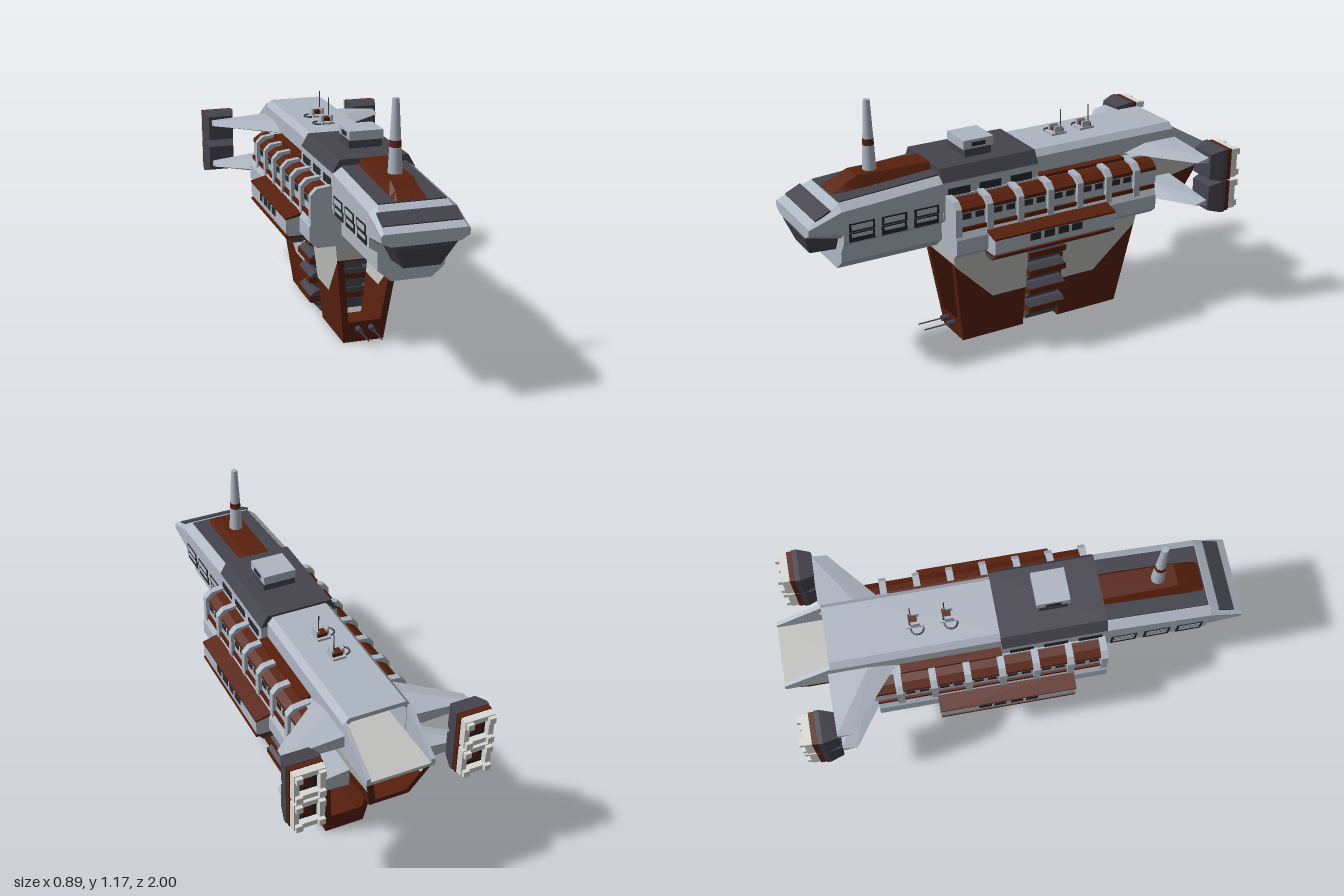
import * as THREE from 'three';
import { ConvexGeometry } from 'three/addons/geometries/ConvexGeometry.js';

const mat = (name, color, side = THREE.FrontSide) => {
  const m = new THREE.MeshStandardMaterial({ color, side });
  m.name = name;
  return m;
};

export function createModel() {
  const hull = mat('hullGrey', 0xaeb6c2), dark = mat('darkPlating', 0x45444e);
  const brown = mat('rustBrown', 0x58200d, THREE.DoubleSide), pale = mat('palePlating', 0xc1c1bf, THREE.DoubleSide);
  const black = mat('windowBlack', 0x28282d), white = mat('nozzleWhite', 0xd9d9d5);
  const root = new THREE.Group();
  root.name = 'airship';
  const body = new THREE.Group();
  body.name = 'body';
  body.position.x = 0.007;
  root.add(body);

  const add = (name, geo, m, parent = body) => {
    const mesh = new THREE.Mesh(geo, m);
    mesh.name = name;
    parent.add(mesh);
    return mesh;
  };
  // Box from its min and max corners
  const box = (name, m, x0, x1, y0, y1, z0, z1, parent) => {
    const g = new THREE.BoxGeometry(Math.abs(x1 - x0), Math.abs(y1 - y0), Math.abs(z1 - z0));
    return add(name, g.translate((x0 + x1) / 2, (y0 + y1) / 2, (z0 + z1) / 2), m, parent);
  };
  const shape = (pts) => new THREE.Shape(pts.map((p) => new THREE.Vector2(...p)));
  // Profile in x/y extruded from z0 up to z1
  const prism = (name, m, pts, z0, z1, hole, parent) => {
    const s = shape(pts);
    if (hole) s.holes.push(shape(hole));
    const g = new THREE.ExtrudeGeometry(s, { depth: z1 - z0, bevelEnabled: false });
    return add(name, g.translate(0, 0, z0), m, parent);
  };
  // Profile in z/y extruded across x
  const slab = (name, m, pts, x0, x1) => {
    const g = new THREE.ExtrudeGeometry(shape(pts), { depth: x1 - x0, bevelEnabled: false });
    return add(name, g.rotateY(-Math.PI / 2).translate(x1, 0, 0), m);
  };
  const convex = (name, m, pts, parent) =>
    add(name, new ConvexGeometry(pts.map((p) => new THREE.Vector3(...p))), m, parent);
  // Symmetric half sections (bottom to top), joined from front to back
  const loft = (name, m, rings) => {
    const full = rings.map(([z, half]) => [
      ...half.map(([x, y]) => [x, y, z]),
      ...half.slice().reverse().map(([x, y]) => [-x, y, z]),
    ]);
    const pos = [], n = full[0].length, tri = (...v) => v.forEach((p) => pos.push(...p));
    const first = full[0], last = full[full.length - 1];
    for (let r = 0; r < full.length - 1; r++) {
      for (let i = 0; i < n; i++) {
        const j = (i + 1) % n, a = full[r], b = full[r + 1];
        tri(a[i], b[i], a[j]);
        tri(a[j], b[i], b[j]);
      }
    }
    for (let i = 1; i < n - 1; i++) {
      tri(first[0], first[i], first[i + 1]);
      tri(last[0], last[i + 1], last[i]);
    }
    const g = new THREE.BufferGeometry();
    g.setAttribute('position', new THREE.Float32BufferAttribute(pos, 3));
    g.computeVertexNormals();
    return add(name, g, m);
  };
  // Flat z/y or x/y outline leaned onto a sloping plane
  const leaned = (name, m, pts, place, hole) => {
    const s = shape(pts);
    if (hole) s.holes.push(shape(hole));
    const g = new THREE.ShapeGeometry(s), p = g.attributes.position;
    for (let i = 0; i < p.count; i++) p.setXYZ(i, ...place(p.getX(i), p.getY(i)));
    g.computeVertexNormals();
    return add(name, g, m);
  };
  const both = (fn) => [1, -1].forEach(fn);

  // Forward hull and nose
  loft('noseHull', hull, [
    [1.0, [[0.14, 0.69], [0.178, 0.71], [0.18, 0.735], [0.17, 0.742]]],
    [0.855, [[0.15, 0.66], [0.18, 0.69], [0.18, 0.785], [0.145, 0.812]]],
    [0.4, [[0.15, 0.66], [0.18, 0.69], [0.18, 0.815], [0.145, 0.84]]],
  ]);
  loft('lowerForeHull', hull, [
    [0.85, [[0.085, 0.497], [0.14, 0.545], [0.14, 0.62], [0.176, 0.645], [0.176, 0.74]]],
    [0.2, [[0.085, 0.497], [0.14, 0.545], [0.14, 0.62], [0.176, 0.645], [0.176, 0.74]]],
  ]);
  loft('chin', dark, [
    [0.993, [[0.12, 0.672], [0.135, 0.69]]],
    [0.962, [[0.075, 0.588], [0.135, 0.69]]],
    [0.85, [[0.085, 0.585], [0.14, 0.69]]],
  ]);
  loft('foreRoof', dark, [
    [0.85, [[0.14, 0.8], [0.14, 0.817]]],
    [0.4, [[0.14, 0.83], [0.14, 0.846]]],
  ]);
  loft('mastPlinth', brown, [
    [0.845, [[0.078, 0.81], [0.06, 0.818]]],
    [0.79, [[0.075, 0.815], [0.05, 0.845]]],
    [0.73, [[0.075, 0.82], [0.05, 0.873]]],
    [0.4, [[0.08, 0.83], [0.055, 0.873]]],
  ]);
  const visor = box('noseWindow', dark, -0.163, 0.163, -0.004, 0.004, -0.038, 0.038);
  visor.position.set(0, 0.778, 0.929);
  visor.rotation.x = Math.atan2(0.07, 0.145);

  // Mast
  const mastR = (y) => 0.03 - 0.016 * (y - 0.87) / 0.305;
  [[0.86, 0.98, hull], [0.98, 1.008, brown], [1.008, 1.175, hull]].forEach(([a, b, m]) =>
    add('mast', new THREE.CylinderGeometry(mastR(b), mastR(a), b - a, 16).translate(0, (a + b) / 2, 0.65), m));

  // Middle hull with dark roof and hatch house
  loft('midHull', hull, [0.4, -0.06].map((z) => [z, [[0.18, 0.66], [0.18, 0.818]]]));
  loft('midRoof', dark, [0.4, -0.06].map((z) => [z, [[0.181, 0.817], [0.15, 0.872]]]));
  box('hatchBase', dark, -0.06, 0.087, 0.87, 0.91, 0.12, 0.245);
  box('hatchHouse', hull, -0.06, 0.09, 0.908, 0.948, 0.11, 0.255);
  both((s) => box('hatchWindow', black, 0.015 + s * 0.074, 0.015 + s * 0.078, 0.918, 0.936, 0.15, 0.215));

  // Aft deck, hangar mouth and ramp
  const deck = [[0.15, 0.69], [0.15, 0.835], [0.125, 0.862]];
  loft('aftDeck', hull, [-0.06, -0.62].map((z) => [z, deck]));
  prism('hangarShell', hull, [...deck, [-0.125, 0.862], [-0.15, 0.835], [-0.15, 0.69]], -0.79, -0.62,
    [[0.13, 0.705], [0.13, 0.828], [0.115, 0.842], [-0.115, 0.842], [-0.13, 0.828], [-0.13, 0.705]]);
  box('rampFloor', pale, -0.149, 0.149, 0.692, 0.707, -1.0, -0.63);
  both((s) => slab('rampWall', hull, [[-0.79, 0.692], [-0.79, 0.845], [-1, 0.725], [-1, 0.692]],
    s * 0.141 - 0.009, s * 0.141 + 0.009));

  // Central body under the decks
  loft('centralBody', hull, [0.39, -0.65].map((z) => [z, [[0.19, 0.497], [0.2, 0.62], [0.186, 0.755]]]));

  both((s) => {
    const side = (pts) => pts.map(([x, y]) => [x * s, y]);
    // Side galleries with arches, awnings and parapets
    prism('galleryBase', hull, side([[0.15, 0.497], [0.245, 0.497], [0.278, 0.525], [0.278, 0.59], [0.262, 0.62], [0.15, 0.62]]), -0.62, 0.39);
    box('galleryFloor', brown, s * 0.17, s * 0.266, 0.62, 0.638, -0.62, 0.385);
    box('bodyStripe', brown, s * 0.14, s * 0.19, 0.75, 0.764, -0.5, -0.06);
    for (let i = 0; i < 7; i++) {
      const z = 0.375 - i * 0.149;
      prism('galleryArch', hull, side([[0.17, 0.6], [0.272, 0.6], [0.272, 0.725], [0.245, 0.753], [0.17, 0.763]]), z - 0.015, z + 0.015);
      const end = i < 6 ? z - 0.134 : -0.63;
      prism('awning', brown, side([[0.17, 0.72], [0.257, 0.702], [0.257, 0.718], [0.225, 0.74], [0.17, 0.75]]), end, z - 0.015);
      box('parapet', hull, s * 0.2, s * 0.256, 0.638, 0.703, end, z - 0.015);
      if (i < 6) [0.045, 0.105].forEach((d) =>
        box('galleryWindow', black, s * 0.255, s * 0.259, 0.672, 0.698, z - d - 0.02, z - d + 0.02));
    }
    // Side pods and their trays
    prism('sidePod', hull, side([[0.26, 0.508], [0.325, 0.508], [0.337, 0.52], [0.337, 0.583], [0.26, 0.6]]), -0.36, 0.24);
    prism('podRoof', brown, side([[0.26, 0.598], [0.339, 0.581], [0.339, 0.589], [0.26, 0.61]]), -0.362, 0.242);
    box('podSill', brown, s * 0.25, s * 0.338, 0.499, 0.51, -0.36, 0.24);
    prism('podTray', dark, side([[0.24, 0.5], [0.265, 0.478], [0.305, 0.478], [0.325, 0.5]]), -0.36, 0.24);
    [0.01, -0.13].forEach((z) => {
      box('podWindow', black, s * 0.335, s * 0.34, 0.545, 0.578, z - 0.06, z + 0.06);
      box('podWindowBar', hull, s * 0.335, s * 0.342, 0.545, 0.578, z - 0.006, z + 0.006);
    });
    // Hull windows
    [0.77, 0.625, 0.478].forEach((z) => {
      box('foreWindow', black, s * 0.174, s * 0.179, 0.645, 0.685, z - 0.057, z + 0.057);
      box('foreWindow', black, s * 0.174, s * 0.183, 0.69, 0.728, z - 0.057, z + 0.057);
      box('foreWindowPane', hull, s * 0.174, s * 0.1845, 0.698, 0.721, z - 0.046, z + 0.046);
      box('foreWindowPane', hull, s * 0.174, s * 0.181, 0.665, 0.679, z - 0.046, z + 0.046);
    });
    [0.325, 0.175, 0.025].forEach((z) =>
      box('midWindow', black, s * 0.178, s * 0.183, 0.742, 0.788, z - 0.052, z + 0.052));
    // Engine pylons
    const wing = (name, rootZ, y0, y1, tip) => convex(name, hull, [
      [s * 0.13, (y0 + y1) / 2, rootZ], [s * 0.13, y0, rootZ - 0.12], [s * 0.13, y1, rootZ - 0.12],
      [s * 0.13, y0, -0.805], [s * 0.13, y1, -0.805], [s * 0.415, tip, -0.74],
      [s * 0.415, tip - 0.014, -0.808], [s * 0.415, tip + 0.014, -0.808],
    ], root);
    wing('upperPylon', -0.505, 0.735, 0.795, 0.763);
    wing('lowerPylon', -0.54, 0.525, 0.605, 0.56);
    // Twin engines
    [0.586, 0.736].forEach((y) => {
      const e = new THREE.Group();
      e.name = 'engine';
      e.position.set(s * 0.371, y, 0);
      root.add(e);
      const sq = (r) => [[r, r], [-r, r], [-r, -r], [r, -r]];
      const at = (r, z) => sq(r).map(([a, b]) => [a, b, z]);
      convex('engineIntake', dark, [...at(0.058, -0.805), ...at(0.074, -0.865), ...at(0.074, -0.886)], e);
      box('engineBand', brown, -0.071, 0.071, -0.071, 0.071, -0.91, -0.886, e);
      prism('nozzleFrame', white, sq(0.067), -0.945, -0.91, sq(0.044), e);
      box('nozzleCore', black, -0.046, 0.046, -0.046, 0.046, -0.916, -0.908, e);
      box('nozzleGlow', brown, -0.02, 0.02, -0.02, 0.02, -0.925, -0.915, e);
      both((a) => both((b) => box('nozzleClaw', white, a * 0.035, a * 0.063, b * 0.035, b * 0.063, -0.963, -0.944, e)));
    });
  });

  // Keel: two hollow shells with open end frames
  const kw = (y) => 0.092 + 0.118 * y, zf = (y) => 0.27 + 0.15 * y, zr = (y) => -0.54 - 0.16 * y;
  const trap = (w, y0, y1, inset = 0) =>
    [[-w(y0) + inset, y0], [w(y0) - inset, y0], [w(y1) - inset, y1], [-w(y1) + inset, y1]];
  both((s) => {
    const on = (z, y) => [s * kw(y), y, z];
    leaned('keelSide', brown, [[zf(0), 0], [-0.04, 0], [-0.04, 0.2], [0.13, 0.2], [zf(0.4), 0.4]], on);
    leaned('keelSide', pale, [[zf(0.4), 0.4], [0.13, 0.2], [-0.04, 0.2], [-0.04, 0.5], [zf(0.5), 0.5]], on);
    leaned('keelSide', brown, [[zr(0), 0], [-0.225, 0], [-0.225, 0.2], [-0.4, 0.2], [zr(0.4), 0.4]], on);
    leaned('keelSide', pale, [[zr(0.4), 0.4], [-0.4, 0.2], [-0.225, 0.2], [-0.225, 0.5], [zr(0.5), 0.5]], on);
  });
  [zf, zr].forEach((z) => {
    const on = (x, y) => [x, y, z(y)];
    leaned('keelFrame', brown, trap(kw, 0, 0.407), on, trap(kw, 0.1, 0.4, 0.03));
    leaned('keelCollar', pale, trap(kw, 0.407, 0.5), on);
  });
  box('keelFloor', brown, -0.092, 0.092, 0, 0.008, -0.04, 0.27);
  box('keelFloor', brown, -0.092, 0.092, 0, 0.008, -0.54, -0.225);

  // Ribbed stack between the shells
  box('ribCore', dark, -0.1, 0.1, 0.03, 0.5, -0.215, -0.05);
  for (let i = 0; i < 5; i++) {
    const y = 0.097 + i * 0.091;
    const half = (w, a) => [[w, a, -0.042], [w, a, -0.224], [-w, a, -0.042], [-w, a, -0.224]];
    convex('ribFlare', dark, [...half(0.118, y - 0.04), ...half(0.15, y - 0.01), ...half(0.15, y + 0.014), ...half(0.125, y + 0.034)]);
    box('ribBand', brown, -0.154, 0.154, y - 0.013, y + 0.013, -0.228, -0.038);
  }

  // Keel guns
  both((s) => {
    const gun = (r, l, z) => add('keelGun', new THREE.CylinderGeometry(r, r, l, 10).rotateX(Math.PI / 2).translate(s * 0.03, 0.067, z), dark);
    gun(0.013, 0.05, 0.29);
    gun(0.003, 0.14, 0.36);
  });

  // Tail tub below the ramp
  const tw = (y) => 0.09 + 0.29 * (y - 0.5), tz = (y) => -0.92 - 0.36 * (y - 0.5);
  both((s) => {
    const on = (z, y) => [s * tw(y), y, z];
    leaned('tailSide', brown, [[-0.64, 0.5], [tz(0.5), 0.5], [tz(0.62), 0.62], [-0.75, 0.57], [-0.64, 0.57]], on);
    leaned('tailSide', pale, [[-0.64, 0.57], [-0.75, 0.57], [tz(0.62), 0.62], [tz(0.7), 0.7], [-0.64, 0.7]], on);
  });
  leaned('tailFrame', brown, trap(tw, 0.5, 0.7), (x, y) => [x, y, tz(y)], trap(tw, 0.53, 0.675, 0.03));
  box('tailFloor', brown, -0.09, 0.09, 0.498, 0.506, -0.92, -0.64);

  // Deck guns with aerials and hooks
  [-0.265, -0.41].forEach((z) => {
    box('deckGunBase', hull, -0.035, 0.025, 0.86, 0.872, z - 0.035, z + 0.04);
    box('deckGunSeat', brown, -0.025, 0.02, 0.872, 0.888, z - 0.022, z + 0.015);
    both((s) => box('deckGunShield', hull, s * 0.022 - 0.012, s * 0.022, 0.87, 0.9, z - 0.015, z + 0.025));
    add('aerial', new THREE.CylinderGeometry(0.0025, 0.0025, 0.11, 6).translate(0.012, 0.92, z - 0.01), dark);
    add('deckHook', new THREE.TorusGeometry(0.028, 0.004, 6, 12, Math.PI).rotateX(Math.PI / 2).rotateY(-Math.PI / 2).translate(-0.04, 0.866, z + 0.01), dark);
  });
  return root;
}
